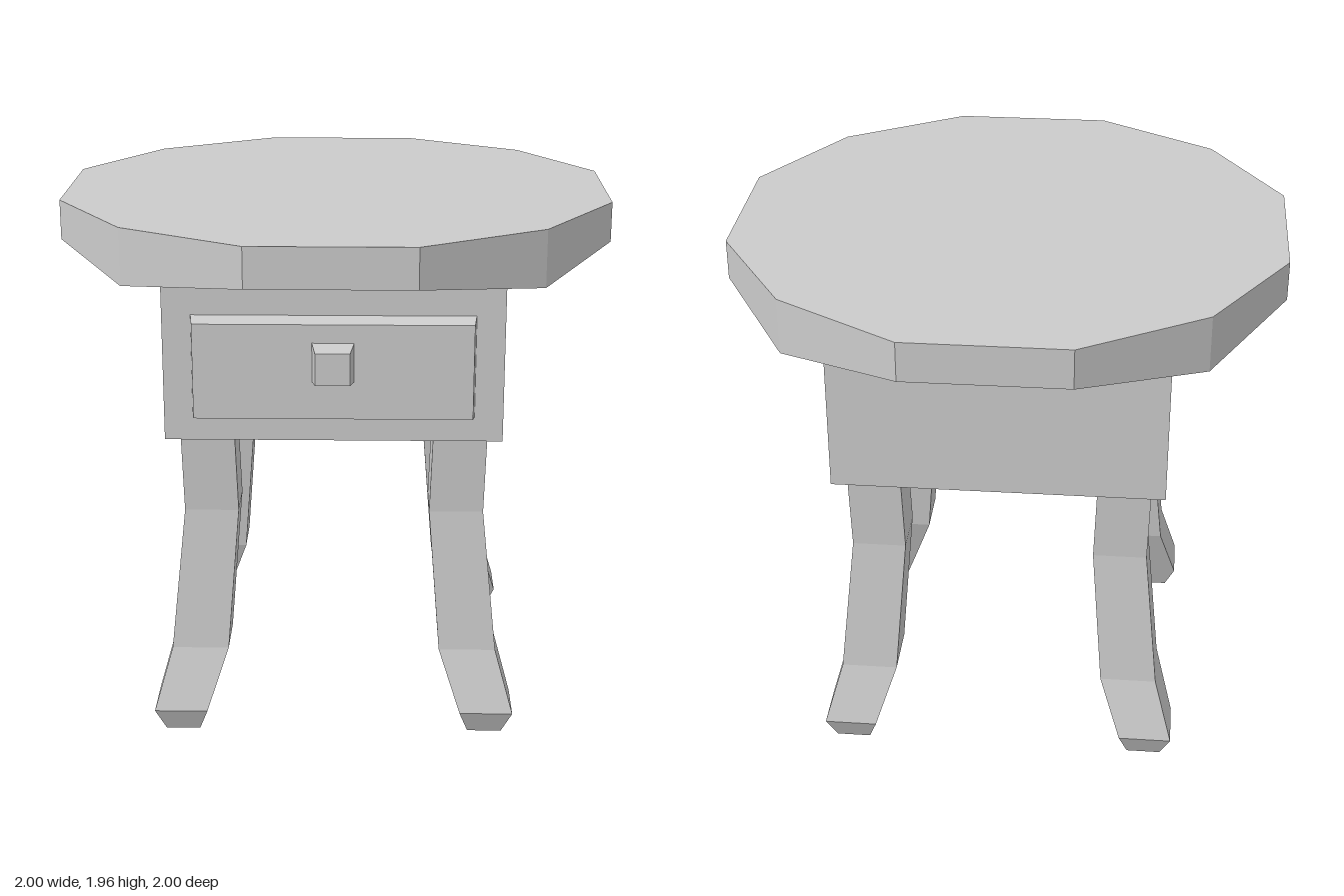
import * as THREE from 'three';

const material = new THREE.MeshStandardMaterial({ color: 0xcccccc, flatShading: true });

// Closed solid skinned over rings of [x, y, z] points, listed from bottom to top.
function loft(rings) {
  const n = rings[0].length;
  const pos = [];
  const tri = (a, b, c) => {
    const [A, B, C] = [a, b, c].map((p) => new THREE.Vector3(...p));
    if (B.sub(A).cross(C.sub(A)).length() > 1e-7) pos.push(...a, ...b, ...c);
  };
  for (let r = 0; r < rings.length - 1; r++) {
    const lo = rings[r], hi = rings[r + 1];
    for (let i = 0; i < n; i++) {
      const j = (i + 1) % n;
      tri(lo[i], lo[j], hi[j]);
      tri(lo[i], hi[j], hi[i]);
    }
  }
  const bottom = rings[0], top = rings[rings.length - 1];
  for (let i = 1; i < n - 1; i++) {
    tri(bottom[0], bottom[i + 1], bottom[i]);
    tri(top[0], top[i], top[i + 1]);
  }
  const g = new THREE.BufferGeometry();
  g.setAttribute('position', new THREE.Float32BufferAttribute(pos, 3));
  g.computeVertexNormals();
  return g;
}

// Rectangular ring at height y.
const rect = (y, w, d, cx = 0, cz = 0) =>
  [[-w, d], [w, d], [w, -d], [-w, -d]].map(([x, z]) => [cx + x, y, cz + z]);

export function createModel() {
  const model = new THREE.Group();
  const add = (name, geometry) => {
    const mesh = new THREE.Mesh(geometry, material);
    mesh.name = name;
    model.add(mesh);
    return mesh;
  };

  // Twelve-sided top; the underside slopes down to a flat square
  const outline = [];
  for (let k = 0; k < 4; k++) {
    const c = Math.round(Math.cos(k * Math.PI / 2)), s = Math.round(Math.sin(k * Math.PI / 2));
    for (const [x, z] of [[-0.29, 1], [0.29, 1], [0.73, 0.73]]) {
      outline.push([x * c + z * s, z * c - x * s]);
    }
  }
  const clamp = (v) => THREE.MathUtils.clamp(v, -0.73, 0.73);
  const isEdge = (x, z) => Math.max(Math.abs(x), Math.abs(z)) > 0.9;
  add('tableTop', loft([
    outline.map(([x, z]) => [clamp(x), 1.75, clamp(z)]),
    outline.map(([x, z]) => [x, isEdge(x, z) ? 1.81 : 1.75, z]),
    outline.map(([x, z]) => [x, 1.955, z]),
  ]));

  // Cabinet body
  add('body', new THREE.BoxGeometry(1.214, 0.6, 1.214)).position.y = 1.45;

  // Drawer front and knob, both tapering forward
  const drawer = loft([rect(0.6, 0.505, 0.188), rect(0.68, 0.495, 0.173)]);
  add('drawerFront', drawer.rotateX(Math.PI / 2).translate(0, 1.428, 0));
  const knob = loft([rect(0.675, 0.075, 0.072), rect(0.765, 0.061, 0.058)]);
  add('drawerKnob', knob.rotateX(Math.PI / 2).translate(0, 1.463, 0));

  // Curved legs: height, inner and outer offset of each square section
  const legSections = [
    [0, 0.505, 0.632], [0.09, 0.473, 0.67], [0.322, 0.393, 0.603],
    [0.855, 0.35, 0.548], [1.155, 0.36, 0.556],
  ];
  for (const [sx, sz, name] of [
    [1, 1, 'frontLeftLeg'], [-1, 1, 'frontRightLeg'],
    [1, -1, 'backLeftLeg'], [-1, -1, 'backRightLeg'],
  ]) {
    add(name, loft(legSections.map(([y, a, b]) => {
      const c = (a + b) / 2, h = (b - a) / 2;
      return rect(y, h, h, sx * c, sz * c);
    })));
  }
  return model;
}
